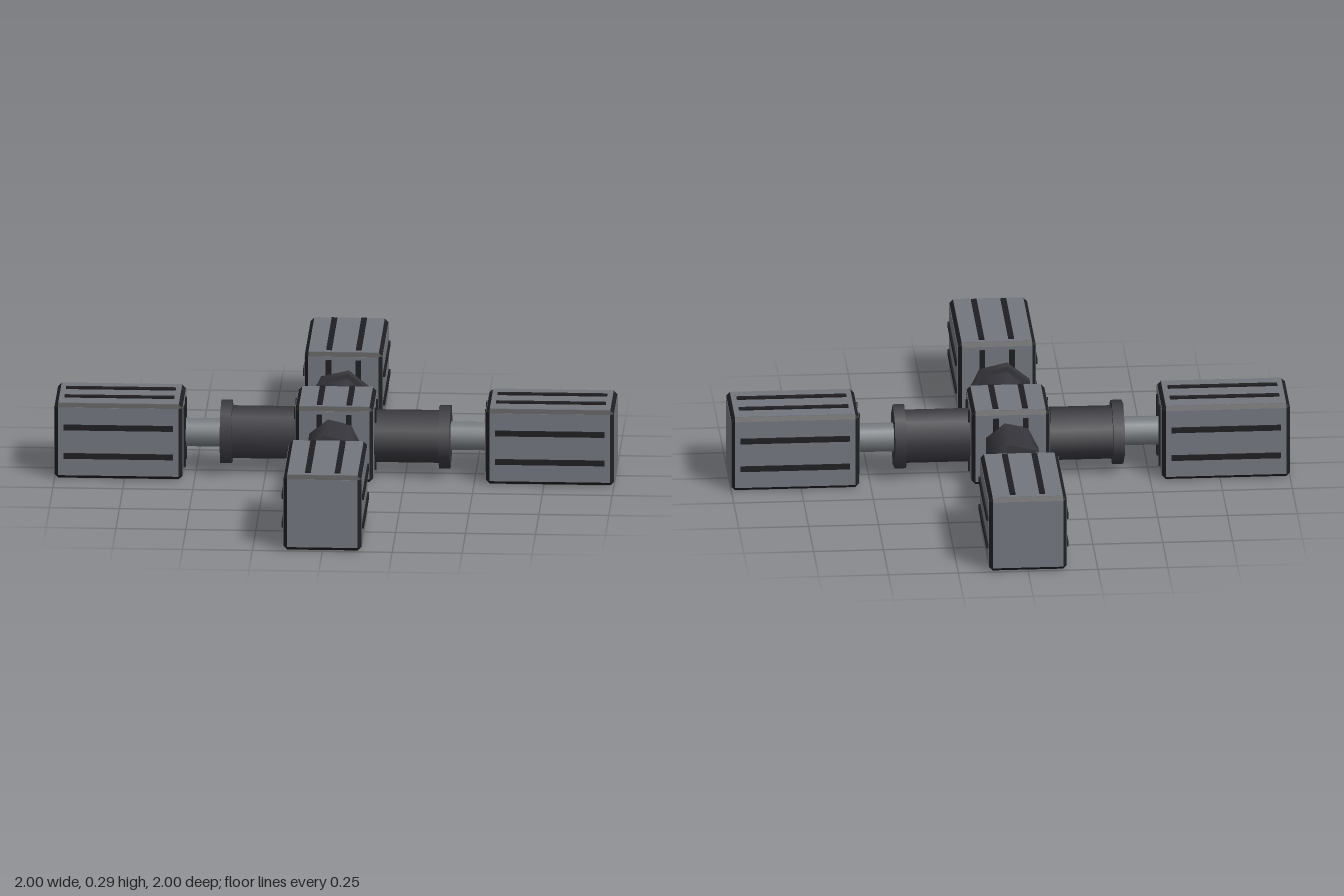
import * as THREE from 'three';
import { ConvexGeometry } from 'three/addons/geometries/ConvexGeometry.js';

const HALF = 0.139; // half width of hub and pods
const BEVEL = 0.013;
const RIB = { offset: 0.053, width: 0.02, rise: 0.008 };

function material(name, color, options = {}) {
  const m = new THREE.MeshStandardMaterial({ color, ...options });
  m.name = name;
  return m;
}

function add(parent, name, geometry, mat, x = 0, y = 0, z = 0) {
  const mesh = new THREE.Mesh(geometry, mat);
  mesh.name = name;
  mesh.position.set(x, y, z);
  parent.add(mesh);
  return mesh;
}

// Bevelled block: each corner becomes three points, one per touching face
function bevelledBlock(hx, hy, hz, b) {
  const points = [];
  for (const x of [-1, 1]) for (const y of [-1, 1]) for (const z of [-1, 1]) {
    points.push(new THREE.Vector3(x * hx, y * (hy - b), z * (hz - b)));
    points.push(new THREE.Vector3(x * (hx - b), y * hy, z * (hz - b)));
    points.push(new THREE.Vector3(x * (hx - b), y * (hy - b), z * hz));
  }
  return new ConvexGeometry(points);
}

// Dark bevelled block covered by six thin panels, so only the edges stay dark
function panelledBlock(name, hx, panel, trim) {
  const block = new THREE.Group();
  block.name = name;
  const h = [hx, HALF, HALF];
  add(block, 'edgeTrim', bevelledBlock(...h, BEVEL), trim);
  for (let axis = 0; axis < 3; axis++) {
    const size = h.map((v, i) => (i === axis ? 0.004 : 2 * (v - BEVEL)));
    for (const side of [-1, 1]) {
      const p = [0, 0, 0];
      p[axis] = side * (h[axis] - 0.0005);
      add(block, 'panel', new THREE.BoxGeometry(...size), panel, ...p);
    }
  }
  return block;
}

export function createModel() {
  const body = material('body grey', 0x73767e);
  const steel = material('rod grey', 0x757a7e);
  const sleeve = material('sleeve charcoal', 0x36363c);
  const trim = material('trim black', 0x1f1f23);

  const model = new THREE.Group();
  model.name = 'crossFrame';
  const centre = new THREE.Group();
  centre.name = 'assembly';
  centre.position.y = HALF;
  model.add(centre);

  const { offset, width, rise } = RIB;
  const shortRib = 2 * HALF - 0.05;

  // Central hub with ribs on its top
  const hub = panelledBlock('hub', HALF, body, trim);
  centre.add(hub);
  for (const s of [-1, 1]) {
    add(hub, 'hubTopRib', new THREE.BoxGeometry(width, 2 * rise, shortRib), trim, s * offset, HALF, 0);
  }

  // Cylinder lying along x, from x0 to x1
  const rod = (parent, name, r, x0, x1, sides, mat) => {
    const g = new THREE.CylinderGeometry(r, r, x1 - x0, sides, 1, false, Math.PI);
    g.rotateZ(-Math.PI / 2);
    return add(parent, name, g, mat, (x0 + x1) / 2);
  };

  // Four identical arms, each built along +x and turned into place
  const podStart = 0.543, podEnd = 1;
  const podHalf = (podEnd - podStart) / 2;
  for (let i = 0; i < 4; i++) {
    const arm = new THREE.Group();
    arm.name = 'arm';
    arm.rotation.y = i * Math.PI / 2;
    centre.add(arm);

    rod(arm, 'sleeve', 0.098, 0.12, 0.375, 7, sleeve);
    rod(arm, 'collar', 0.118, 0.37, 0.411, 7, sleeve);
    rod(arm, 'pistonRod', 0.051, 0.4, podStart + 0.01, 16, steel);

    const pod = panelledBlock('pod', podHalf, body, trim);
    pod.position.x = (podStart + podEnd) / 2;
    arm.add(pod);

    const longRib = 2 * podHalf - 0.065;
    for (const s of [-1, 1]) {
      // Long ribs on the top and both sides
      add(pod, 'podTopRib', new THREE.BoxGeometry(longRib, 2 * rise, width), trim, 0, HALF, s * offset);
      for (const side of [-1, 1]) {
        add(pod, 'podSideRib', new THREE.BoxGeometry(longRib, width, 2 * rise), trim, 0, s * offset, side * HALF);
      }
      // Upright ribs on the pod's inner end and the hub face opposite
      const upright = new THREE.BoxGeometry(2 * rise, shortRib, width);
      add(pod, 'podInnerRib', upright, trim, -podHalf, 0, s * offset);
      add(arm, 'hubSideRib', upright, trim, HALF, 0, s * offset);
    }
  }
  return model;
}
